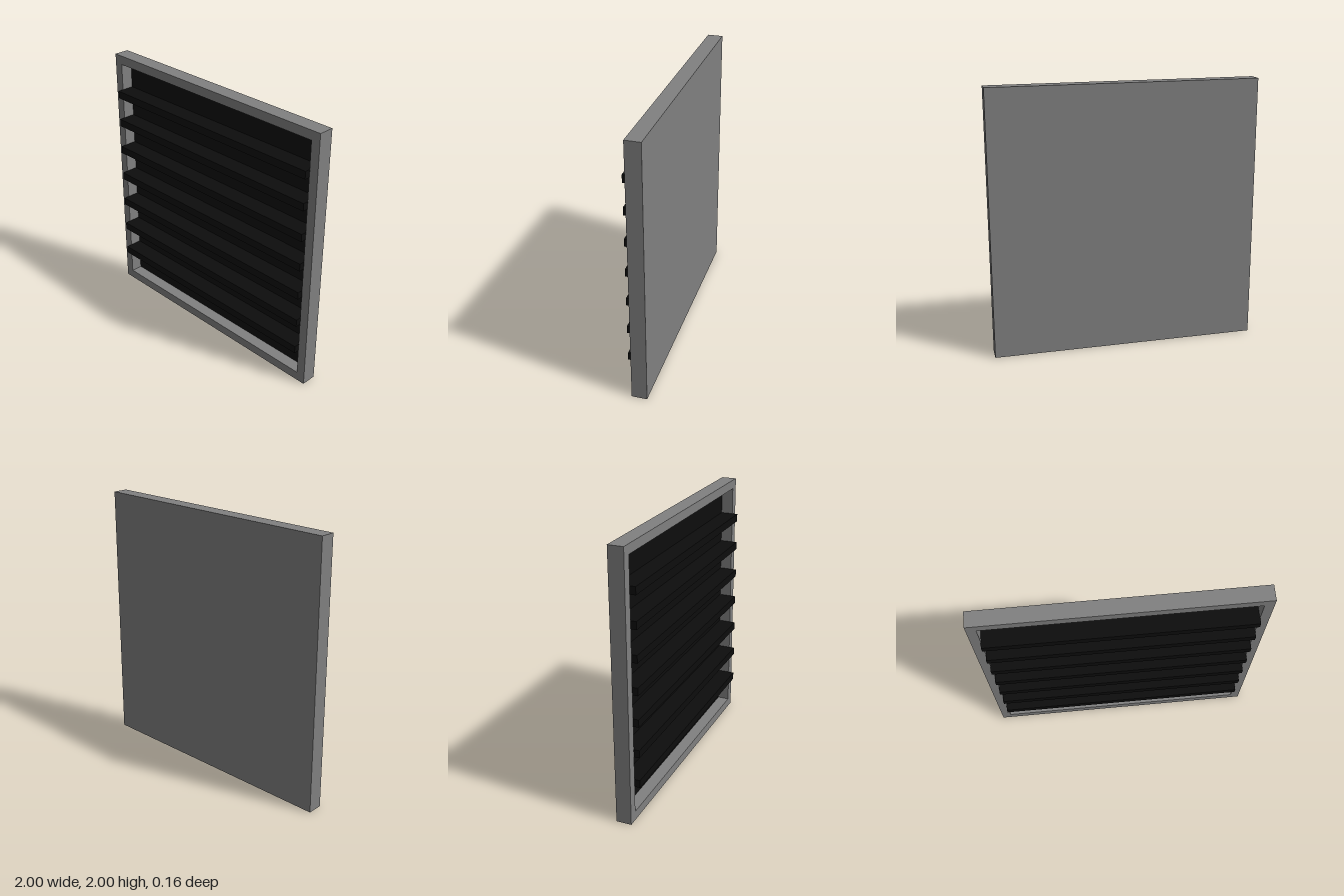
import * as THREE from 'three';

const BACK = -0.078, FRONT = 0.036, PANEL = -0.054, SLAT_FRONT = 0.078;
const INNER = 0.932; // half-width of the opening

export function createModel() {
  const group = new THREE.Group();
  const grey = new THREE.MeshStandardMaterial({ color: 0x808080 });
  grey.name = 'frame grey';
  const black = new THREE.MeshStandardMaterial({ color: 0x0d0d0d });
  black.name = 'louvre black';

  const add = (name, geometry, material, x, y, z) => {
    const mesh = new THREE.Mesh(geometry, material);
    mesh.name = name;
    mesh.position.set(x, y, z);
    group.add(mesh);
  };

  // Square frame with an open centre
  const outline = new THREE.Shape([[-1, -1], [1, -1], [1, 1], [-1, 1]].map(p => new THREE.Vector2(...p)));
  const i = INNER;
  outline.holes.push(new THREE.Path([[-i, -i], [-i, i], [i, i], [i, -i]].map(p => new THREE.Vector2(...p))));
  add('frame', new THREE.ExtrudeGeometry(outline, { depth: FRONT - BACK, bevelEnabled: false }), grey, 0, 1, BACK);

  // Closed back plate, with a thin dark lining facing the front
  const lining = 0.006;
  const plateDepth = PANEL - lining - BACK;
  add('backPlate', new THREE.BoxGeometry(2 * i, 2 * i, plateDepth), grey, 0, 1, BACK + plateDepth / 2);
  add('darkLining', new THREE.BoxGeometry(2 * i, 2 * i, lining), black, 0, 1, PANEL - lining / 2);

  // Seven horizontal slats standing out in front of the frame
  const slatDepth = SLAT_FRONT - PANEL;
  const slat = new THREE.BoxGeometry(2 * i + 0.004, 0.058, slatDepth);
  for (let n = -3; n <= 3; n++) {
    add('slat', slat, black, 0, 1 + n * 0.2335, PANEL + slatDepth / 2);
  }
  return group;
}
